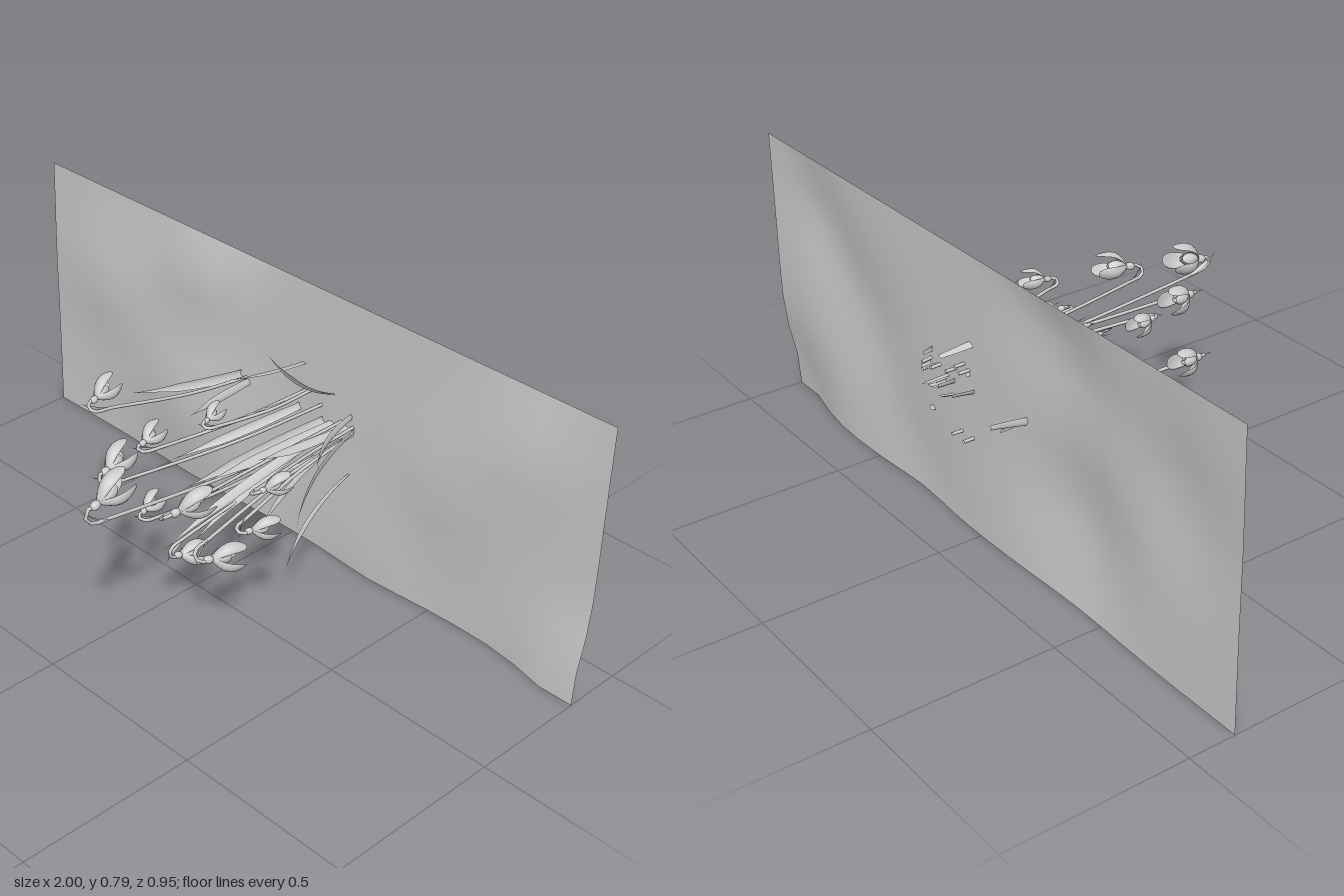
import * as THREE from 'three';

const mat = new THREE.MeshStandardMaterial({ color: 0xcccccc, side: THREE.DoubleSide });
const V = (x, y, z) => new THREE.Vector3(x, y, z);

function add(parent, geometry, name) {
  const mesh = new THREE.Mesh(geometry, mat);
  mesh.name = name;
  parent.add(mesh);
  return mesh;
}

// Upright sheet of ground with soft bumps: x, y, height, spread
const bumps = [
  [-0.4, 0.25, 0.045, 0.2], [0.95, 0.03, 0.045, 0.15], [-0.75, 0.5, 0.03, 0.16],
  [0.55, 0.4, 0.03, 0.18], [-0.35, 0.68, 0.03, 0.17], [0.75, 0.6, 0.03, 0.13], [0.3, 0.08, 0.02, 0.15],
];
function ground() {
  const geo = new THREE.PlaneGeometry(2, 0.79, 20, 8).translate(0, 0.395, 0);
  const p = geo.attributes.position;
  for (let i = 0; i < p.count; i++) {
    const x = p.getX(i), y = p.getY(i);
    let h = 0;
    for (const [bx, by, a, s] of bumps) h += a * Math.exp(-((x - bx) ** 2 + (y - by) ** 2) / (s * s));
    const fade = Math.min(1, (0.79 - y) / 0.1);
    p.setZ(i, -0.37 + Math.min(h, 0.05) * fade);
  }
  geo.computeVertexNormals();
  return geo;
}

// Folded, tapering blade swept along a curve
function blade(curve, width, out, steps = 18) {
  const side = V(-out.y, out.x, 0);
  const pos = [], index = [];
  for (let i = 0; i <= steps; i++) {
    const t = i / steps, c = curve.getPoint(t);
    const w = width * (0.25 + 0.75 * Math.sin(Math.PI * Math.min(1, t * 0.85 + 0.12))) * Math.min(1, (1 - t) * 3);
    for (const k of [-1, 0, 1]) {
      const q = c.clone().addScaledVector(side, k * w).addScaledVector(out, k === 0 ? w * 0.45 : 0);
      pos.push(q.x, q.y, q.z);
    }
    if (i < steps) for (let k = 0; k < 2; k++) {
      const a = i * 3 + k;
      index.push(a, a + 1, a + 3, a + 1, a + 4, a + 3);
    }
  }
  const geo = new THREE.BufferGeometry();
  geo.setAttribute('position', new THREE.Float32BufferAttribute(pos, 3));
  geo.setIndex(index);
  geo.computeVertexNormals();
  return geo;
}

// Cupped petal growing up +y from the origin
function petal(length, width) {
  const geo = new THREE.SphereGeometry(1, 12, 10);
  const p = geo.attributes.position;
  for (let i = 0; i < p.count; i++) {
    const x = p.getX(i), t = (p.getY(i) + 1) / 2;
    const w = width * (0.65 + 0.45 * t);
    const bow = 0.2 * length * Math.sin(Math.PI * t) - 0.35 * width * x * x;
    p.setXYZ(i, x * w, t * length, p.getZ(i) * width * 0.22 + bow);
  }
  geo.computeVertexNormals();
  return geo;
}

// Nodding blossom, opening towards +y
function blossom(scale) {
  const g = new THREE.Group();
  g.name = 'blossom';
  const ovary = add(g, new THREE.SphereGeometry(0.011, 12, 8), 'ovary');
  ovary.scale.y = 1.3;
  const outer = petal(0.1, 0.023), inner = petal(0.06, 0.015);
  for (let i = 0; i < 3; i++) {
    const a = (i * Math.PI * 2) / 3;
    const o = add(g, outer, 'outerPetal');
    o.rotation.set(0.3, a, 0, 'YXZ');
    o.position.y = 0.008;
    const n = add(g, inner, 'innerPetal');
    n.rotation.set(0.08, a + Math.PI / 3, 0, 'YXZ');
    n.position.y = 0.008;
  }
  g.scale.setScalar(scale);
  return g;
}

// Stem, hooked stalk, sheath and blossom
function flower([x, y, z, bx, by, size]) {
  const g = new THREE.Group();
  g.name = 'flower';
  const out = V(x - bx, y - by, 0).normalize();
  const axis = out.clone().multiplyScalar(0.3).add(V(0, 0, -1)).normalize();
  const neck = V(x, y, z).addScaledVector(axis, -0.055 * size);
  const at = (o, dz) => V(x, y, z + dz).addScaledVector(out, o * size);
  const base = V(bx, by, -0.4);
  const bend = at(-0.06, 0.02);
  const path = new THREE.CatmullRomCurve3([
    base, base.clone().lerp(bend, 0.5).addScaledVector(out, -0.012), bend,
    at(-0.052, 0.07 * size), at(-0.035, 0.085 * size), at(-0.018, 0.075 * size), neck,
  ]);
  add(g, new THREE.TubeGeometry(path, 40, 0.0048, 7), 'stem');
  const sheath = new THREE.QuadraticBezierCurve3(bend, at(-0.055, 0.06 * size), at(-0.01, 0.1 * size));
  add(g, blade(sheath, 0.007, out, 8), 'sheath');
  const b = blossom(size);
  b.position.copy(neck);
  b.quaternion.setFromUnitVectors(V(0, 1, 0), axis);
  g.add(b);
  return g;
}

// Leaf from its base to an outward-curving tip
function leaf([x, y, z, bx, by, bz, width]) {
  const out = V(x - bx, y - by, 0).normalize();
  const mid = V(bx + (x - bx) * 0.22, by + (y - by) * 0.22, bz + (z - bz) * 0.6);
  return blade(new THREE.QuadraticBezierCurve3(V(bx, by, bz), mid, V(x, y, z)), width, out);
}

// blossom centre x, y, z, stem base x, y, size
const flowers = [
  [-0.3, 0.5, 0.05, -0.18, 0.42, 0.9], [-0.02, 0.5, 0.25, 0.09, 0.45, 1],
  [0.11, 0.53, 0.38, 0.14, 0.4, 1.1], [-0.06, 0.49, 0.1, 0.03, 0.47, 0.8],
  [-0.01, 0.505, -0.07, 0.05, 0.48, 0.65], [0.25, 0.495, 0.24, 0.16, 0.43, 1],
  [0.26, 0.295, 0.14, 0.17, 0.38, 1], [0.32, 0.38, 0.07, 0.2, 0.41, 0.8],
  [0.08, 0.19, 0.09, 0.07, 0.28, 0.9], [-0.04, 0.3, 0.12, 0.02, 0.28, 0.75],
  [0.32, 0.49, 0.03, 0.2, 0.43, 0.75],
];
// tip x, y, z, base x, y, z, half width
const leaves = [
  [0.06, 0.66, -0.19, 0.13, 0.5, -0.37, 0.014], [0.0, 0.595, -0.1, 0.02, 0.54, -0.46, 0.013],
  [0.28, 0.17, -0.05, 0.2, 0.29, -0.38, 0.013], [-0.36, 0.405, -0.09, -0.18, 0.43, -0.45, 0.014],
  [-0.13, 0.43, -0.1, -0.18, 0.41, -0.42, 0.012], [-0.1, 0.35, 0.0, 0.02, 0.42, -0.43, 0.013],
  [0.05, 0.19, 0.06, 0.1, 0.38, -0.41, 0.017], [0.38, 0.38, 0.02, 0.2, 0.42, -0.4, 0.013],
  [0.12, 0.28, 0.23, 0.13, 0.4, -0.42, 0.017], [0.14, 0.44, 0.1, 0.13, 0.41, -0.44, 0.017],
  [0.22, 0.27, 0.0, 0.16, 0.38, -0.4, 0.015], [0.08, 0.4, 0.12, 0.1, 0.41, -0.42, 0.016],
  [0.2, 0.48, -0.02, 0.18, 0.42, -0.4, 0.014], [0.33, 0.48, -0.1, 0.19, 0.46, -0.4, 0.012],
  [0.02, 0.48, -0.15, 0.03, 0.46, -0.38, 0.012],
];

export function createModel() {
  const model = new THREE.Group();
  model.name = 'flowerPatch';
  add(model, ground(), 'ground');
  for (const f of flowers) model.add(flower(f));
  for (const l of leaves) add(model, leaf(l), 'leaf');
  return model;
}
